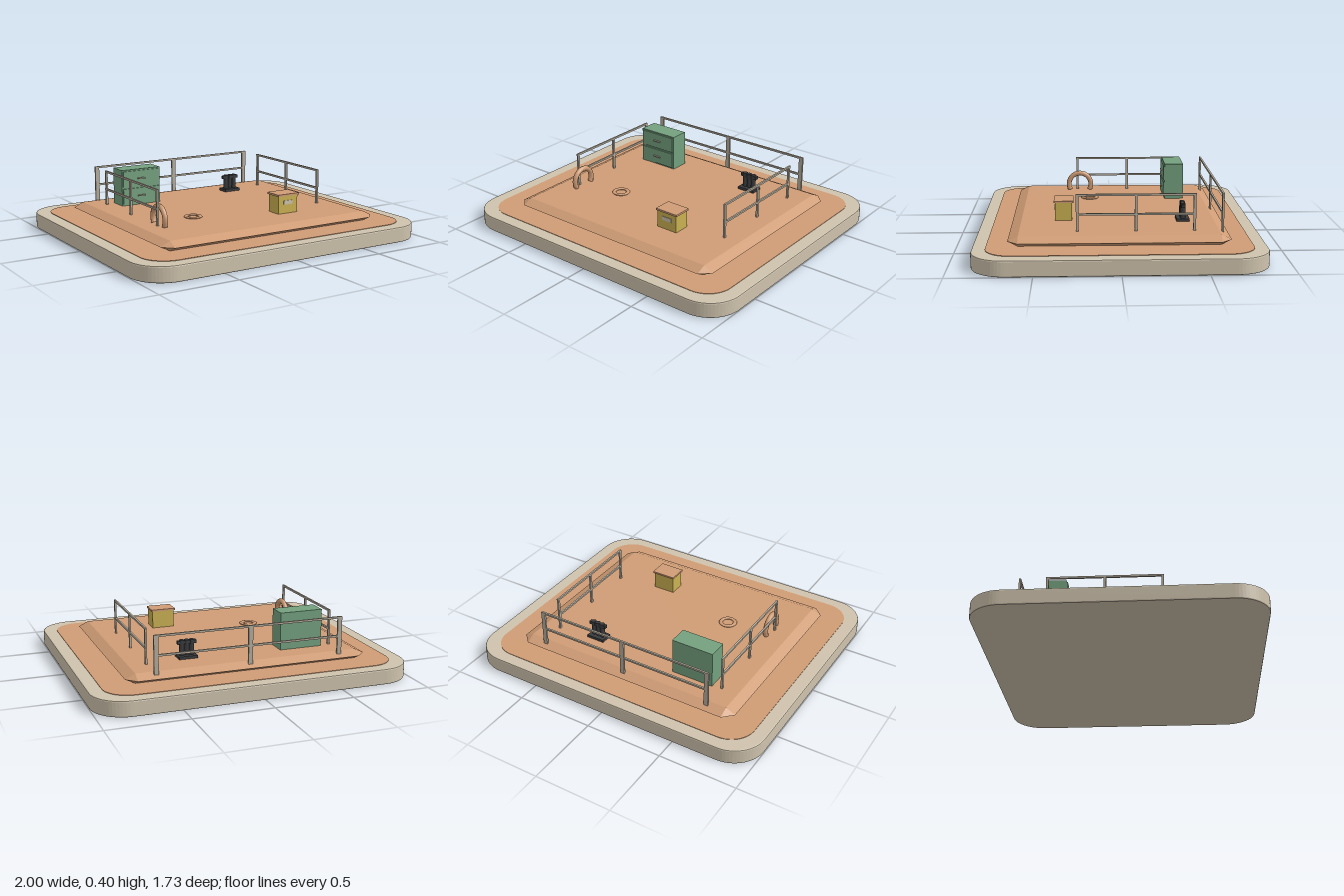
import * as THREE from 'three';

const mat = (name, color) => {
  const m = new THREE.MeshStandardMaterial({ color });
  m.name = name;
  return m;
};

// Rounded rectangle outline centred on the origin
function roundedRect(hw, hd, r) {
  const s = new THREE.Shape();
  s.absarc(hw - r, hd - r, r, 0, Math.PI / 2);
  s.absarc(-hw + r, hd - r, r, Math.PI / 2, Math.PI);
  s.absarc(-hw + r, -hd + r, r, Math.PI, Math.PI * 1.5);
  s.absarc(hw - r, -hd + r, r, Math.PI * 1.5, Math.PI * 2);
  s.closePath();
  return s;
}

// Flat deck with sloping rims: chamfered outline at mid height, rectangles above and below
function deckGeometry(hw, hd, rim, y0, y1) {
  const ym = (y0 + y1) / 2;
  const corners = [[1, 1], [1, -1], [-1, -1], [-1, 1]];
  const pos = [];
  const tri = (a, b, c) => pos.push(...a, ...b, ...c);
  const quad = (a, b, c, d) => { tri(a, b, c); tri(a, c, d); };
  for (const top of [true, false]) {
    const y = top ? y1 : y0;
    const face = top ? quad : (a, b, c, d) => quad(d, c, b, a);
    const inner = corners.map(([x, z]) => [x * hw, y, z * hd]);
    const alongX = corners.map(([x, z]) => [x * (hw + rim), ym, z * hd]);
    const alongZ = corners.map(([x, z]) => [x * hw, ym, z * (hd + rim)]);
    face(...inner);
    for (let i = 0; i < 4; i++) {
      const j = (i + 1) % 4;
      const edge = i % 2 ? alongZ : alongX;
      face(inner[i], edge[i], edge[j], inner[j]);
      const [a, b] = i % 2 ? [alongX, alongZ] : [alongZ, alongX];
      if (top) tri(inner[i], a[i], b[i]);
      else tri(inner[i], b[i], a[i]);
    }
  }
  const g = new THREE.BufferGeometry();
  g.setAttribute('position', new THREE.Float32BufferAttribute(pos, 3));
  g.computeVertexNormals();
  return g;
}

export function createModel() {
  const root = new THREE.Group();
  root.name = 'platform';
  const stone = mat('pale stone', 0xcfc3ad);
  const clay = mat('clay', 0xcf9c75);
  const metal = mat('rail metal', 0xb5ac9c);
  const green = mat('cabinet green', 0x74a17f);
  const yellow = mat('crate yellow', 0xcab153);
  const black = mat('charcoal', 0x3b3c3e);

  const add = (name, geo, material, x = 0, y = 0, z = 0, parent = root) => {
    const m = new THREE.Mesh(geo, material);
    m.name = name;
    m.position.set(x, y, z);
    parent.add(m);
    return m;
  };
  // Box given by its lower and upper limits on each axis
  const box = (name, material, x0, x1, y0, y1, z0, z1, parent = root) =>
    add(name, new THREE.BoxGeometry(x1 - x0, y1 - y0, z1 - z0), material,
      (x0 + x1) / 2, (y0 + y1) / 2, (z0 + z1) / 2, parent);
  const group = (name) => {
    const g = new THREE.Group();
    g.name = name;
    root.add(g);
    return g;
  };

  // Base slab with softened edges and a thin inlay
  const b = 0.008;
  const slab = new THREE.ExtrudeGeometry(roundedRect(1 - b, 0.865 - b, 0.2), {
    depth: 0.098 - 2 * b, bevelThickness: b, bevelSize: b, bevelSegments: 2, curveSegments: 8,
  });
  slab.rotateX(-Math.PI / 2).translate(0, b, 0);
  add('baseSlab', slab, stone);
  const inlay = new THREE.ExtrudeGeometry(roundedRect(0.915, 0.785, 0.16),
    { depth: 0.005, bevelEnabled: false, curveSegments: 8 });
  inlay.rotateX(-Math.PI / 2);
  add('floorInlay', inlay, clay, 0, 0.096, 0);

  // Raised deck
  add('raisedDeck', deckGeometry(0.708, 0.597, 0.062, 0.1, 0.16), clay);

  // Side railings
  for (const side of [1, -1]) {
    const g = group(side > 0 ? 'leftRailing' : 'rightRailing');
    const x = side * 0.6;
    for (const z of [-0.45, -0.1, 0.25])
      box('railPost', metal, x - 0.006, x + 0.006, 0.155, 0.385, z - 0.008, z + 0.008, g);
    for (const y of [0.38, 0.262])
      box('handRail', metal, x - 0.006, x + 0.006, y - 0.006, y + 0.006, -0.46, 0.258, g);
  }

  // Back railing
  const back = group('backRailing');
  for (const x of [-0.588, 0, 0.588])
    box('railPost', metal, x - 0.014, x + 0.014, 0.145, 0.385, -0.626, -0.614, back);
  for (const y of [0.38, 0.262])
    box('handRail', metal, -0.6, 0.6, y - 0.006, y + 0.006, -0.626, -0.614, back);

  // Cabinet with two drawers
  const cabinet = group('cabinet');
  box('cabinetBody', green, -0.54, -0.262, 0.16, 0.397, -0.467, -0.342, cabinet);
  for (const [y0, y1] of [[0.17, 0.272], [0.284, 0.388]]) {
    const y = (y0 + y1) / 2;
    box('drawerFront', green, -0.533, -0.269, y0, y1, -0.342, -0.334, cabinet);
    box('drawerHandle', metal, -0.43, -0.375, y - 0.004, y + 0.004, -0.334, -0.324, cabinet);
  }

  // Crate with lid and label
  const crate = group('crate');
  box('crateBody', yellow, 0.192, 0.338, 0.16, 0.275, 0.282, 0.388, crate);
  box('crateLid', clay, 0.185, 0.345, 0.273, 0.285, 0.274, 0.395, crate);
  box('crateLabel', stone, 0.232, 0.3, 0.218, 0.243, 0.388, 0.392, crate);

  // Rack: base plate, three columns and a top bar
  const rack = group('rack');
  box('rackBase', black, 0.27, 0.39, 0.16, 0.177, -0.443, -0.363, rack);
  for (const x of [0.298, 0.33, 0.362])
    add('rackColumn', new THREE.CylinderGeometry(0.016, 0.016, 0.1, 12), black, x, 0.222, -0.403, rack);
  box('rackTop', black, 0.27, 0.39, 0.247, 0.267, -0.415, -0.391, rack);

  // Ring lying on the deck
  const ring = add('floorRing', new THREE.TorusGeometry(0.046, 0.013, 8, 24), clay, -0.302, 0.164, 0.165);
  ring.rotation.x = Math.PI / 2;
  ring.scale.z = 0.5;

  // Horseshoe arch beside the right railing
  const arc = Math.PI * 1.34;
  const arch = new THREE.TorusGeometry(0.077, 0.017, 8, 20, arc);
  arch.rotateZ(Math.PI / 2 - arc / 2).rotateY(Math.PI / 2);
  add('arch', arch, clay, -0.58, 0.2, 0.233);

  return root;
}
